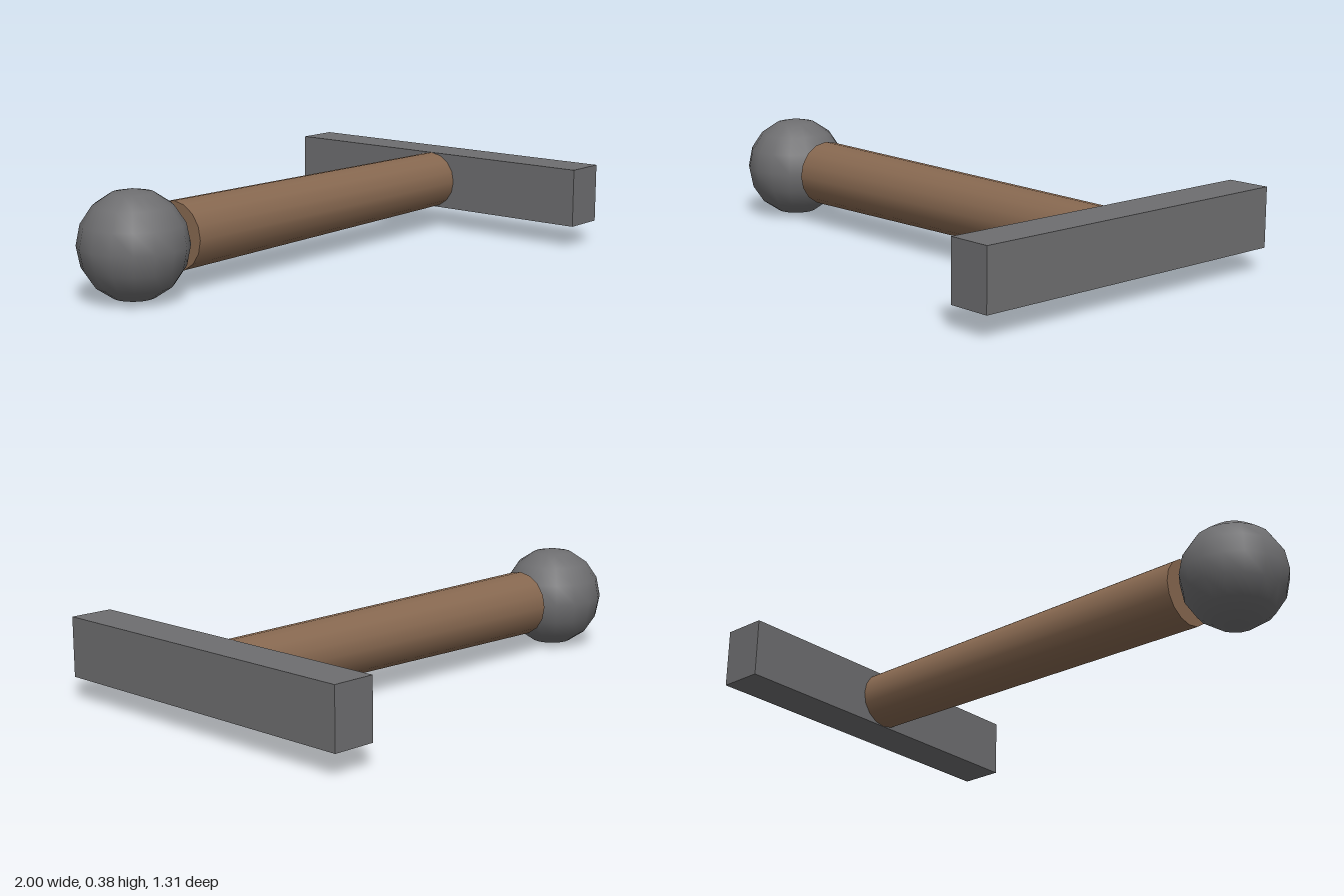
import * as THREE from 'three';

export function createModel() {
  const model = new THREE.Group();
  model.name = 'hammer';
  const steel = new THREE.MeshStandardMaterial({ color: 0x6e6e70 });
  steel.name = 'dark steel';
  const wood = new THREE.MeshStandardMaterial({ color: 0x876850 });
  wood.name = 'brown wood';
  const axisY = 0.193;

  const add = (name, geometry, material, x) => {
    const mesh = new THREE.Mesh(geometry, material);
    mesh.name = name;
    mesh.position.set(x, axisY, 0);
    model.add(mesh);
    return mesh;
  };

  // Round pommel just touching the handle's wide end
  add('pommel', new THREE.SphereGeometry(0.189, 16, 8), steel, -0.811);

  // Tapered handle lying along x, narrow end at the head
  const handle = add('handle', new THREE.CylinderGeometry(0.107, 0.121, 1.46, 16), wood, 0.11);
  handle.rotation.z = -Math.PI / 2;

  // Long bar head across the end of the handle
  add('head', new THREE.BoxGeometry(0.16, 0.215, 1.31), steel, 0.92);

  return model;
}
